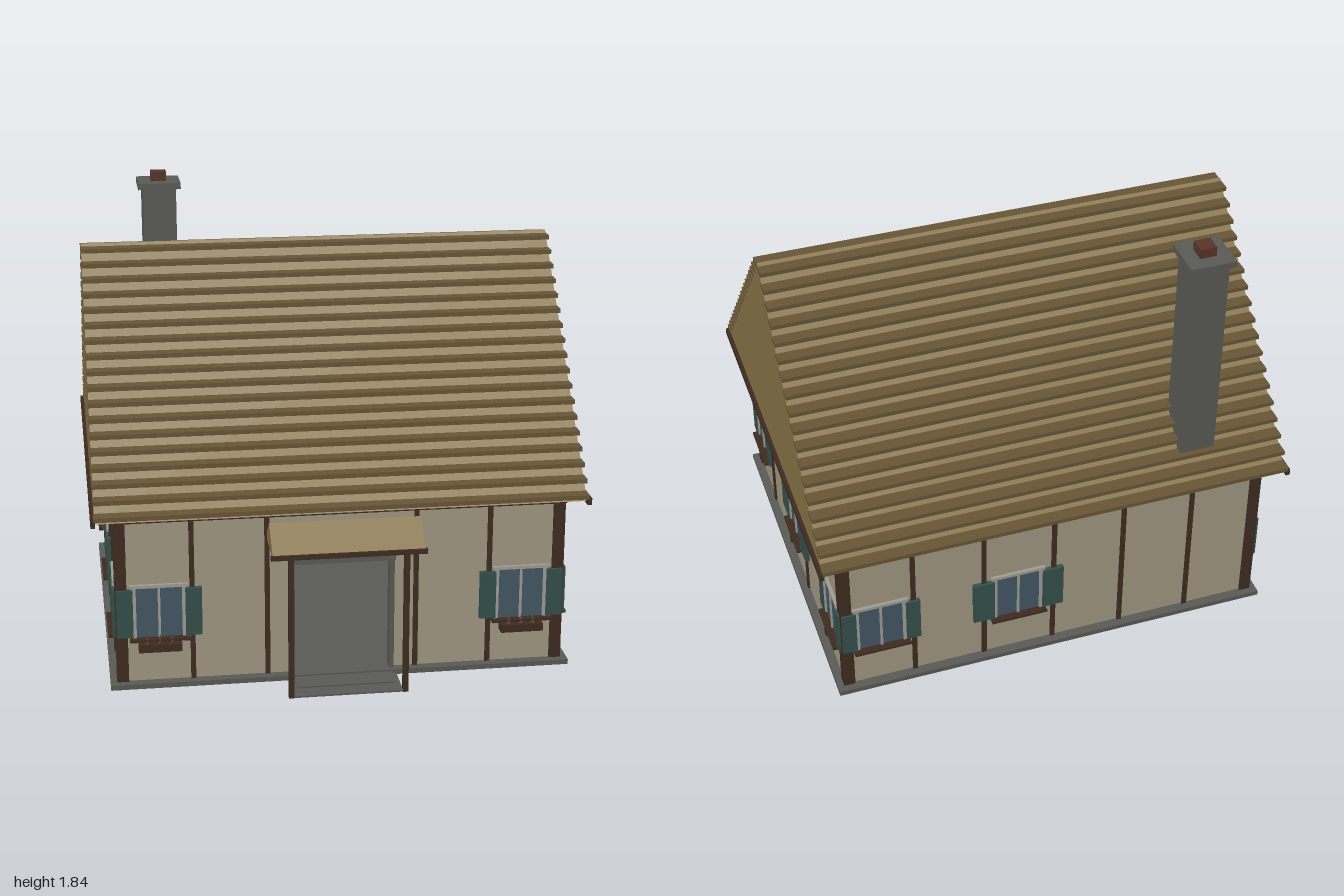
import * as THREE from 'three';

const mat = (color) => new THREE.MeshStandardMaterial({ color, flatShading: true });
const M = {
  plaster: mat(0xa19883), thatch: mat(0x867347), strip: mat(0x695637), timber: mat(0x3e2b21),
  stone: mat(0x5a5a56), glass: mat(0x445865), frame: mat(0xa09d93), shutter: mat(0x34504b),
  brick: mat(0x58342a),
};

// Box given by its min and max corners
function box(parent, name, m, [x0, y0, z0], [x1, y1, z1]) {
  const mesh = new THREE.Mesh(new THREE.BoxGeometry(x1 - x0, y1 - y0, z1 - z0), m);
  mesh.position.set((x0 + x1) / 2, (y0 + y1) / 2, (z0 + z1) / 2);
  mesh.name = name;
  parent.add(mesh);
  return mesh;
}

// Triangular prism with its ridge along x
function prism(parent, name, m, halfX, halfZ, y0, y1, z) {
  const s = new THREE.Shape([[-halfZ, y0], [halfZ, y0], [0, y1]].map(([a, b]) => new THREE.Vector2(a, b)));
  const g = new THREE.ExtrudeGeometry(s, { depth: halfX * 2, bevelEnabled: false });
  g.translate(0, 0, -halfX);
  g.rotateY(Math.PI / 2);
  const mesh = new THREE.Mesh(g, m);
  mesh.position.z = z;
  mesh.name = name;
  parent.add(mesh);
}

const WIN = { hw: 0.105, y0: 0.22, y1: 0.435 };
const BASE = 0.03, TOP = 0.722;

// Window centred on x; local z = 0 is the wall's outer face
function addWindow(wall, x, shutterW, flowers) {
  const w = new THREE.Group();
  w.name = 'window';
  w.position.x = x;
  wall.add(w);
  const { hw, y0, y1 } = WIN;
  box(w, 'glass', M.glass, [-hw, y0, -0.045], [hw, y1, 0.006]);
  box(w, 'mullion', M.frame, [-0.005, y0, 0], [0.005, y1, 0.013]);
  for (const s of [-1, 1]) {
    const jamb = box(w, 'windowJamb', M.frame, [-0.009, y0, 0], [0.009, y1, 0.013]);
    jamb.position.x = s * (hw - 0.004);
    const shutter = box(w, 'shutter', M.shutter, [-shutterW / 2, y0 + 0.008, 0], [shutterW / 2, y1 - 0.005, 0.02]);
    shutter.position.x = s * (hw + shutterW / 2);
  }
  box(w, 'windowHead', M.frame, [-hw - 0.012, y1, 0], [hw + 0.012, y1 + 0.013, 0.014]);
  box(w, 'windowSill', M.timber, [-0.12, y0 - 0.008, 0], [0.12, y0 + 0.003, 0.037]);
  if (!flowers) return;
  box(w, 'flowerBox', M.timber, [-0.087, 0.175, 0.004], [0.087, 0.207, 0.055]);
  for (const fx of [-0.05, 0, 0.05]) {
    const f = new THREE.Mesh(new THREE.ConeGeometry(0.014, 0.04, 5), M.brick);
    f.name = 'flower';
    f.position.set(fx, 0.223, 0.03);
    w.add(f);
  }
}

// Wall panel with window and door holes, timber studs and windows
function addWall(house, name, { half, pos, rot, studs, windows, door, flowers }) {
  const wall = new THREE.Group();
  wall.name = name;
  wall.position.set(...pos);
  wall.rotation.y = rot;
  house.add(wall);
  const rect = (C, x0, y0, x1, y1) =>
    new C([[x0, y0], [x1, y0], [x1, y1], [x0, y1]].map(([a, b]) => new THREE.Vector2(a, b)));
  const shape = rect(THREE.Shape, -half, BASE, half, TOP);
  for (const [x] of windows) shape.holes.push(rect(THREE.Path, x - WIN.hw, WIN.y0, x + WIN.hw, WIN.y1));
  if (door) shape.holes.push(rect(THREE.Path, -0.2, BASE + 0.001, 0.2, 0.51));
  const g = new THREE.ExtrudeGeometry(shape, { depth: 0.04, bevelEnabled: false });
  g.translate(0, 0, -0.04);
  const panel = new THREE.Mesh(g, M.plaster);
  panel.name = 'plasterPanel';
  wall.add(panel);
  for (const x of studs) box(wall, 'stud', M.timber, [x - 0.01, BASE, -0.01], [x + 0.01, TOP - 0.005, 0.009]);
  for (const [x, sw] of windows) addWindow(wall, x, sw, flowers);
}

export function createModel() {
  const model = new THREE.Group();
  model.name = 'cottage';
  const Z = -0.063, HX = 0.905, HZ = 0.757;
  const house = new THREE.Group();
  house.name = 'house';
  house.position.z = Z;
  model.add(house);

  // Foundation slab, also the floor
  box(house, 'foundation', M.stone, [-0.94, 0.012, -0.797], [0.94, 0.033, 0.797]);

  // Walls
  const xs = [-0.605, -0.303, 0.303, 0.605];
  const sideStuds = [-0.456, -0.152, 0.152, 0.456];
  const sideWindows = [[-0.608, 0.047], [0, 0.095], [0.608, 0.047]];
  addWall(house, 'frontWall', {
    half: HX, pos: [0, 0, HZ], rot: 0, studs: xs, door: true, flowers: true,
    windows: [[-0.738, 0.066], [0.738, 0.066]],
  });
  addWall(house, 'backWall', {
    half: HX, pos: [0, 0, -HZ], rot: Math.PI, studs: [...xs, 0],
    windows: [[-0.745, 0.06], [-0.156, 0.09]],
  });
  for (const s of [-1, 1]) {
    addWall(house, s > 0 ? 'leftWall' : 'rightWall', {
      half: HZ - 0.04, pos: [s * HX, 0, 0], rot: s * Math.PI / 2, studs: sideStuds, windows: sideWindows,
    });
  }

  // Corner posts, top plates and gable beams
  for (const sx of [-1, 1]) for (const sz of [-1, 1]) {
    const post = box(house, 'cornerPost', M.timber, [-0.024, BASE, -0.024], [0.024, TOP, 0.024]);
    post.position.x = sx * 0.89;
    post.position.z = sz * 0.743;
  }
  for (const s of [-1, 1]) {
    box(house, 'topPlate', M.timber, [-0.92, 0.711, s * 0.757 - 0.013], [0.92, 0.725, s * 0.757 + 0.013]);
    box(house, 'sidePlate', M.timber, [s * 0.907 - 0.013, 0.711, -0.757], [s * 0.907 + 0.013, 0.725, 0.757]);
    box(house, 'gableBeam', M.timber, [s * 0.991 - 0.009, 0.727, -0.845], [s * 0.991 + 0.009, 0.755, 0.845]);
  }

  // Roof body with stepped courses on both slopes
  prism(house, 'roofBody', M.thatch, 0.985, 0.825, 0.737, 1.67, 0);
  for (let i = 0; i < 18; i++) {
    const y = 0.762 + i * 0.0522, out = 0.852 - i * 0.0465;
    for (const s of [-1, 1]) {
      const a = s * out, b = s * (out - 0.056);
      box(house, 'roofCourse', M.strip, [-0.988, y - 0.009, Math.min(a, b)], [0.988, y + 0.009, Math.max(a, b)]);
    }
  }

  // Chimney
  const chimney = new THREE.Group();
  chimney.name = 'chimney';
  chimney.position.set(-0.622, 0, -0.725);
  model.add(chimney);
  box(chimney, 'chimneyStack', M.stone, [-0.074, 0.76, -0.074], [0.074, 1.78, 0.074]);
  box(chimney, 'chimneyCap', M.stone, [-0.094, 1.775, -0.094], [0.094, 1.802, 0.094]);
  box(chimney, 'chimneyPot', M.brick, [-0.034, 1.8, -0.034], [0.034, 1.842, 0.034]);

  // Door surround, its jambs reaching the ground
  for (const s of [-1, 1]) {
    box(model, 'doorJamb', M.stone, [s * 0.204 - 0.009, 0, 0.655], [s * 0.204 + 0.009, 0.512, 0.712]);
  }
  box(model, 'doorLintel', M.stone, [-0.215, 0.508, 0.655], [0.215, 0.531, 0.722]);

  // Porch steps, posts and canopy
  box(model, 'lowerStep', M.stone, [-0.22, 0.012, 0.66], [0.22, 0.019, 0.9]);
  box(model, 'upperStep', M.stone, [-0.2, 0.012, 0.66], [0.2, 0.026, 0.83]);
  for (const s of [-1, 1]) {
    box(model, 'porchPost', M.timber, [s * 0.23 - 0.011, 0.01, 0.877], [s * 0.23 + 0.011, 0.605, 0.899]);
  }
  box(model, 'porchBeam', M.timber, [-0.31, 0.603, 0.89], [0.31, 0.622, 0.907]);
  prism(model, 'porchRoof', M.thatch, 0.303, 0.125, 0.615, 0.714, 0.78);

  return model;
}
